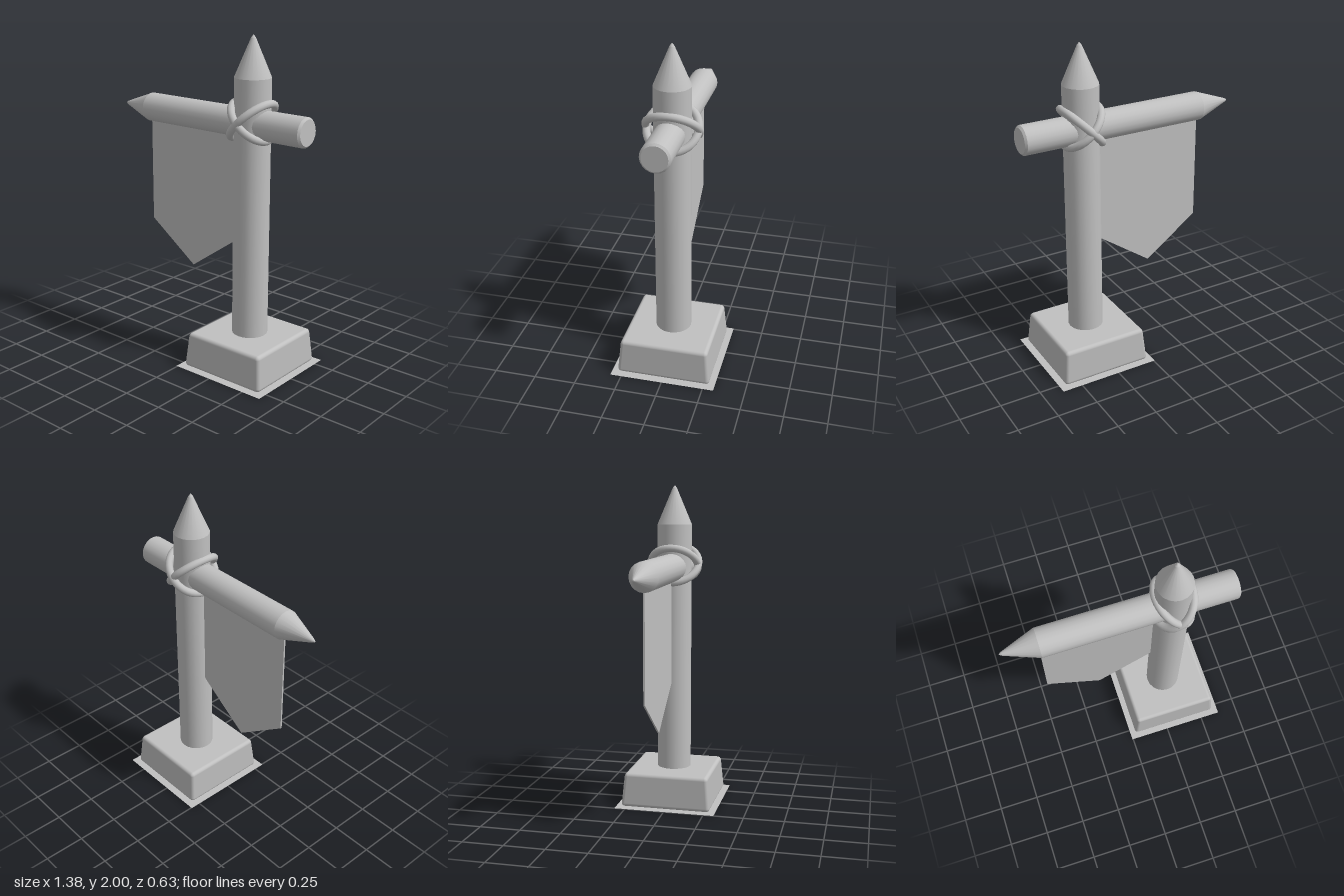
import * as THREE from 'three';
import { RoundedBoxGeometry } from 'three/addons/geometries/RoundedBoxGeometry.js';

export function createModel() {
  const model = new THREE.Group();
  model.name = 'bannerPost';
  const grey = new THREE.MeshStandardMaterial({ color: 0xc0c0c0 });
  grey.name = 'plainGrey';
  const dark = new THREE.MeshStandardMaterial({ color: 0x33281a });
  dark.name = 'darkUnderside';

  const POST_X = 0.31;
  const add = (name, geometry, parent = model, material = grey) => {
    const mesh = new THREE.Mesh(geometry, material);
    mesh.name = name;
    parent.add(mesh);
    return mesh;
  };

  // Round timber along +y from [height, radius] stations, crisp at each station
  const timber = (name, stations) => {
    const group = new THREE.Group();
    group.name = name;
    for (let i = 0; i < stations.length - 1; i++) {
      const [y0, r0] = stations[i];
      const [y1, r1] = stations[i + 1];
      const open = i > 0 && i < stations.length - 2;
      const g = new THREE.CylinderGeometry(r1, r0, y1 - y0, 20, 1, open);
      g.translate(0, (y0 + y1) / 2, 0);
      add(name + 'Section' + (i + 1), g, group);
    }
    model.add(group);
    return group;
  };

  // Upright post with a sharpened top
  timber('post', [[0.1, 0.107], [1.765, 0.107], [1.985, 0.014], [2, 0.003]])
    .position.x = POST_X;

  // Crossbeam: bevelled butt at +x, sharpened end at -x
  const beam = timber('crossbeam', [
    [-0.69, 0.075], [-0.678, 0.087], [0.47, 0.087], [0.675, 0.012], [0.69, 0.003],
  ]);
  beam.rotation.z = Math.PI / 2;
  beam.position.y = 1.5;

  // Two rope rings crossing around the joint
  for (const [side, radius] of [[1, 0.152], [-1, 0.147]]) {
    const g = new THREE.TorusGeometry(radius, 0.023, 12, 40);
    g.rotateX(Math.PI / 2);
    g.rotateZ(side * Math.PI / 4);
    add(side > 0 ? 'ropeRising' : 'ropeFalling', g).position.set(POST_X, 1.517, 0);
  }

  // Pointed cloth hanging below the beam
  const cloth = new THREE.Shape([
    [-0.47, 1.46], [-0.47, 0.78], [-0.135, 0.54], [0.205, 0.78], [0.205, 1.46],
  ].map(([x, y]) => new THREE.Vector2(x, y)));
  const clothGeometry = new THREE.ExtrudeGeometry(cloth, { depth: 0.01, bevelEnabled: false });
  add('banner', clothGeometry).position.z = -0.005;

  // Rounded foot block, narrowing upward
  const foot = new RoundedBoxGeometry(0.566, 0.214, 0.566, 4, 0.022);
  const p = foot.attributes.position;
  for (let i = 0; i < p.count; i++) {
    const s = 1 - 0.07 * (p.getY(i) / 0.214 + 0.5);
    p.setX(i, p.getX(i) * s);
    p.setZ(i, p.getZ(i) * s);
  }
  add('footBlock', foot).position.set(POST_X, 0.112, 0);

  // Thin ground sheet: grey above, dark below
  const sheetTop = add('groundSheetTop', new THREE.PlaneGeometry(0.632, 0.632));
  sheetTop.rotation.x = -Math.PI / 2;
  sheetTop.position.set(POST_X, 0.002, 0);
  const sheetBottom = add('groundSheetBottom', new THREE.PlaneGeometry(0.632, 0.632), model, dark);
  sheetBottom.rotation.x = Math.PI / 2;
  sheetBottom.position.set(POST_X, 0, 0);

  return model;
}
